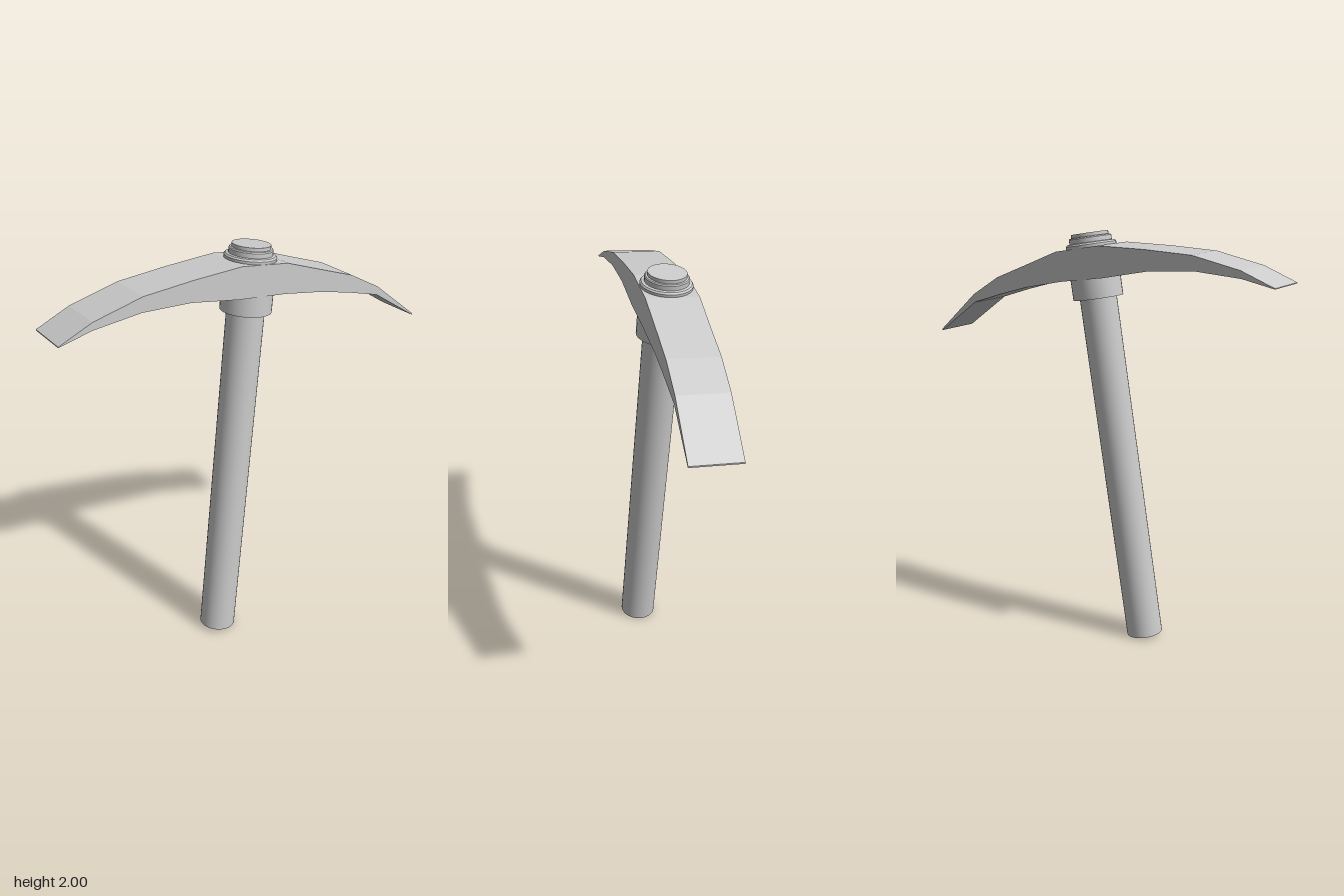
import * as THREE from 'three';
import { toCreasedNormals } from 'three/addons/utils/BufferGeometryUtils.js';

const material = new THREE.MeshStandardMaterial({ color: 0xcccccc });

function part(name, geometry) {
  const mesh = new THREE.Mesh(geometry, material);
  mesh.name = name;
  return mesh;
}

// Solid turned around the handle axis, with sharp steps
function turned(profile) {
  const points = profile.map(([r, y]) => new THREE.Vector2(r, y));
  return toCreasedNormals(new THREE.LatheGeometry(points, 32), 0.5);
}

// Faceted loft through rectangular sections: [x, top, bottom, half width]
function headGeometry(sections) {
  const rings = sections.map(([x, top, bottom, w]) => [
    [x, top, w], [x, top, -w], [x, bottom, -w], [x, bottom, w],
  ]);
  const positions = [];
  const quad = (a, b, c, d) => positions.push(...a, ...b, ...c, ...a, ...c, ...d);
  for (let i = 0; i < rings.length - 1; i++) {
    const p = rings[i], q = rings[i + 1];
    for (let k = 0; k < 4; k++) {
      const n = (k + 1) % 4;
      quad(p[k], q[k], q[n], p[n]);
    }
  }
  const first = rings[0], last = rings[rings.length - 1];
  quad(first[0], first[1], first[2], first[3]);
  quad(last[3], last[2], last[1], last[0]);
  const geometry = new THREE.BufferGeometry();
  geometry.setAttribute('position', new THREE.Float32BufferAttribute(positions, 3));
  geometry.computeVertexNormals();
  return geometry;
}

export function createModel() {
  const model = new THREE.Group();
  model.name = 'pickaxe';

  // Curved head, thinning to a chisel edge at both ends
  model.add(part('head', headGeometry([
    [-0.955, -0.195, -0.199, 0.115],
    [-0.81, -0.107, -0.142, 0.116],
    [-0.59, -0.02, -0.088, 0.117],
    [-0.36, 0.03, -0.066, 0.118],
    [-0.12, 0.074, -0.072, 0.121],
    [0.12, 0.074, -0.066, 0.121],
    [0.335, 0.027, -0.074, 0.118],
    [0.5, -0.008, -0.092, 0.117],
    [0.67, -0.076, -0.116, 0.116],
    [0.926, -0.234, -0.241, 0.115],
  ])));

  // Straight round handle
  const handle = part('handle', new THREE.CylinderGeometry(0.088, 0.088, 1.856, 32));
  handle.position.y = -0.928;
  model.add(handle);

  // Socket collar below the head
  model.add(part('socketCollar', turned([
    [0.08, -0.164], [0.119, -0.164], [0.119, -0.03], [0, -0.03],
  ])));

  // Stepped cap on top of the head
  model.add(part('topCap', turned([
    [0, 0.06], [0.115, 0.06], [0.119, 0.068], [0.119, 0.086], [0.113, 0.094],
    [0.1, 0.096], [0.1, 0.117], [0.096, 0.122], [0.088, 0.123], [0.088, 0.139], [0, 0.139],
  ])));

  // Lean the whole tool along its handle axis
  const up = new THREE.Vector3(0.13, 1, -0.061).normalize();
  const along = new THREE.Vector3(1, -0.135, -0.087).normalize();
  const across = new THREE.Vector3().crossVectors(along, up).normalize();
  along.crossVectors(up, across);
  model.quaternion.setFromRotationMatrix(new THREE.Matrix4().makeBasis(along, up, across));
  model.position.set(0.033, 1.85, -0.012);

  const root = new THREE.Group();
  root.add(model);
  return root;
}
